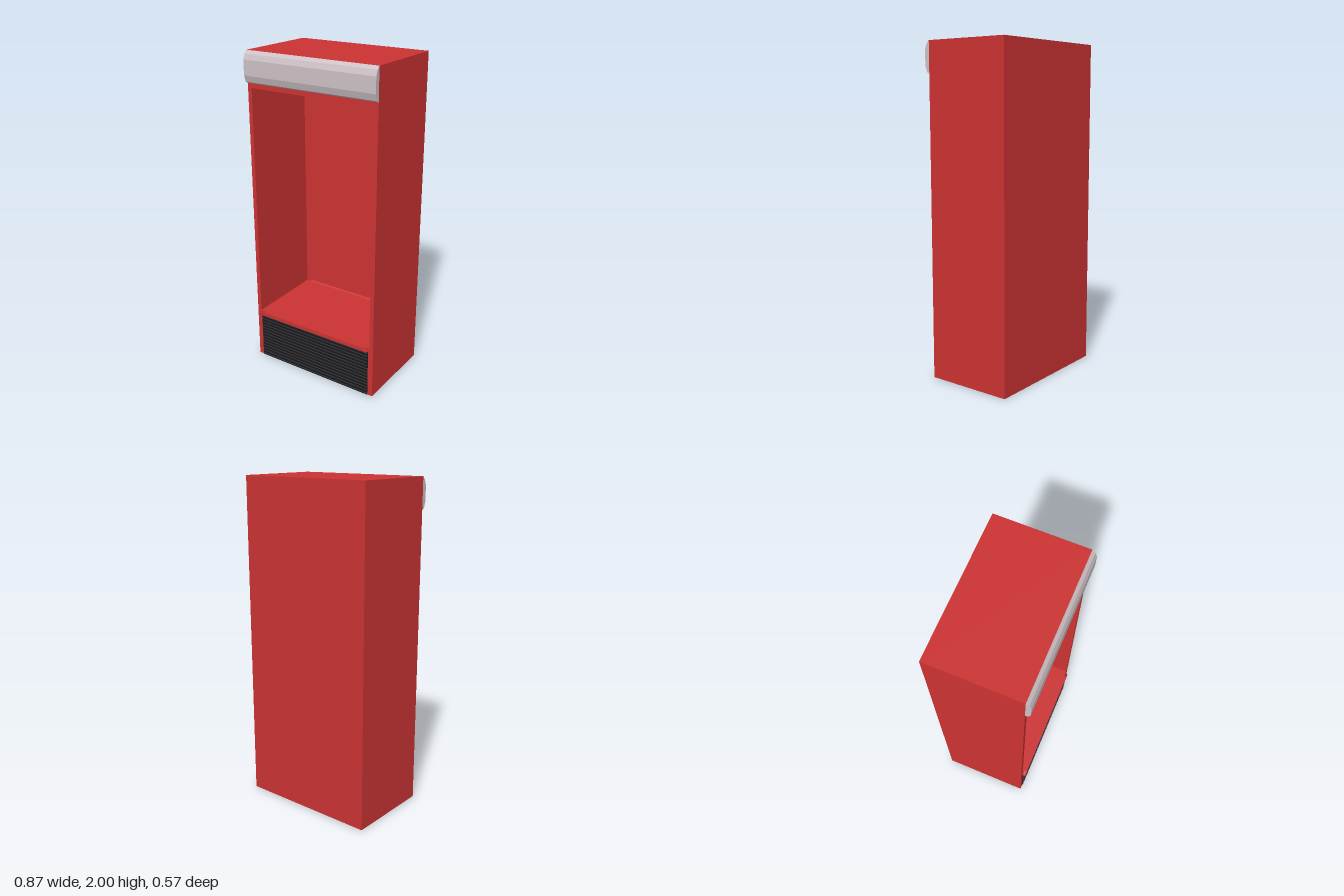
import * as THREE from 'three';

const mat = (name, color) => {
  const m = new THREE.MeshStandardMaterial({ color });
  m.name = name;
  return m;
};

export function createModel() {
  const red = mat('cabinet red', 0xcc3333);
  const silver = mat('sign silver', 0xcdc1c5);
  const black = mat('grille black', 0x19191c);
  const grey = mat('slat grey', 0x36363b);
  const group = new THREE.Group();

  const add = (name, geometry, material, x = 0, y = 0, z = 0) => {
    const mesh = new THREE.Mesh(geometry, material);
    mesh.name = name;
    mesh.position.set(x, y, z);
    group.add(mesh);
    return mesh;
  };
  const shape = (pts) => new THREE.Shape(pts.map(([x, y]) => new THREE.Vector2(x, y)));
  const extrude = (s, depth) => new THREE.ExtrudeGeometry(s, { depth, bevelEnabled: false });
  // Extrudes a (z, y) profile along x, centred
  const alongX = (pts, width) =>
    extrude(shape(pts.map(([z, y]) => [-z, y])), width)
      .rotateY(-Math.PI / 2).scale(1, 1, 1).translate(width / 2, 0, 0).rotateY(Math.PI);

  // Cabinet: a deep frame around the open display space, closed by a back panel
  const W = 0.436;
  const frame = shape([[-W, 0], [W, 0], [W, 2], [-W, 2]]);
  frame.holes.push(shape([[-0.41, 0.33], [-0.41, 1.785], [0.41, 1.785], [0.41, 0.33]]));
  add('cabinetFrame', extrude(frame, 0.51), red, 0, 0, -0.255);
  add('backPanel', new THREE.BoxGeometry(2 * W, 2, 0.03), red, 0, 1, -0.27);

  // Sill strip with slanted ends, below the opening
  add('sillStrip', extrude(shape([[-0.4, 0.305], [0.4, 0.305], [0.37, 0.33], [-0.37, 0.33]]), 0.016),
    red, 0, 0, 0.255);

  // Low sloped lip at the back of the floor
  const lip = new THREE.CylinderGeometry(0.008, 0.008, 0.74, 3).rotateZ(Math.PI / 2).toNonIndexed();
  lip.computeVertexNormals();
  add('floorLip', lip, red, 0, 0.335, -0.25);

  // Faceted header sign
  add('headerSign', alongX([[0.255, 1.812], [0.273, 1.822], [0.285, 1.86], [0.285, 1.95],
    [0.273, 1.982], [0.255, 2]], 2 * W), silver);

  // Ventilation grille with horizontal slats
  add('grillePanel', new THREE.BoxGeometry(0.805, 0.305, 0.004), black, 0, 0.1525, 0.256);
  const slats = 14, pitch = 0.305 / slats;
  for (let i = 0; i < slats; i++) {
    add('grilleSlat', new THREE.BoxGeometry(0.805, 0.006, 0.003), grey, 0, (i + 0.5) * pitch, 0.2585);
  }

  return group;
}
